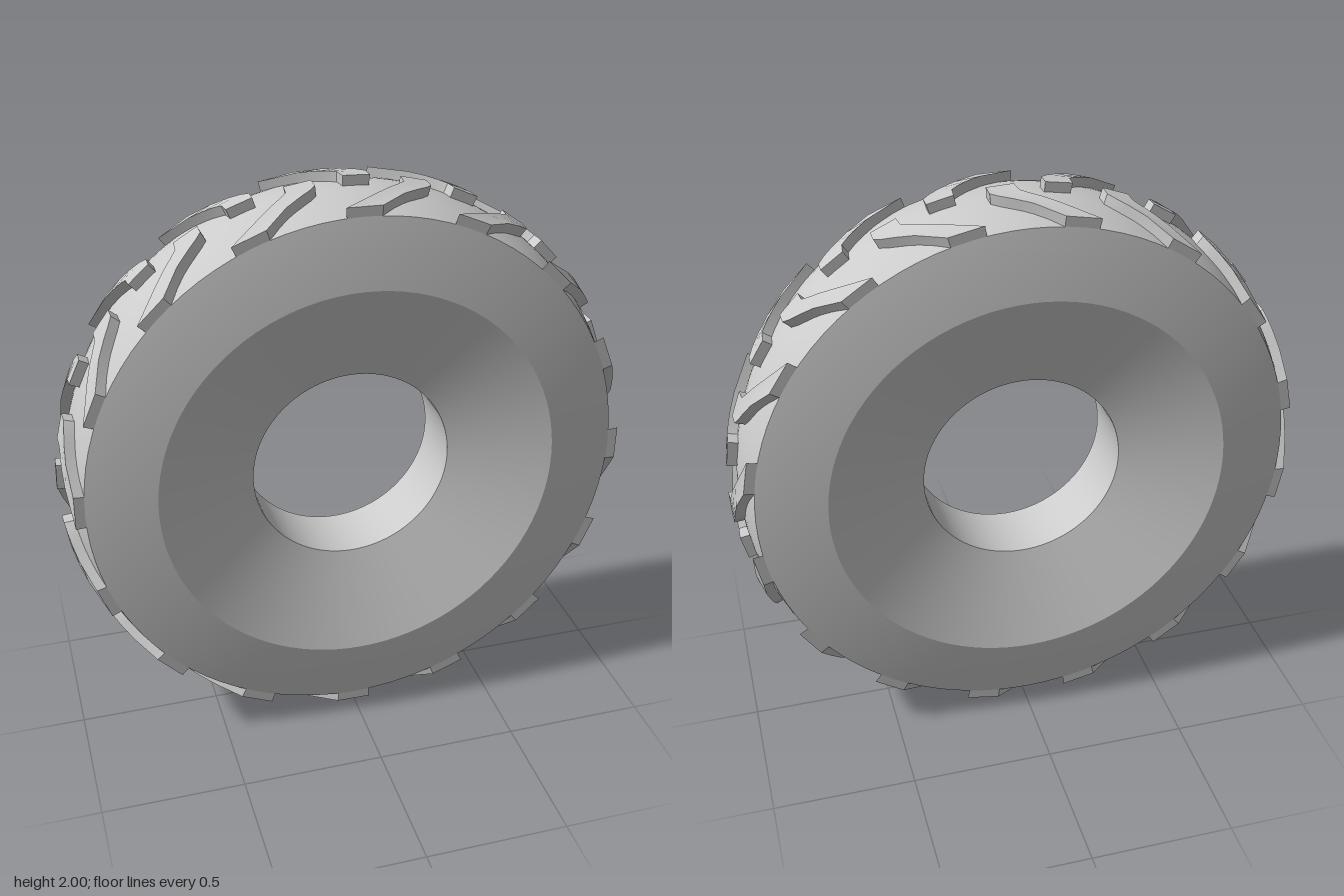
import * as THREE from 'three';
import { toCreasedNormals } from 'three/addons/utils/BufferGeometryUtils.js';

const LUGS = 16;
const HALF_TREAD = 0.2;
const LUG_HEIGHT = 0.035;

// Radius of the crowned tread at a distance z from the centre line
const crown = (z) => 0.965 - 0.035 * (z / HALF_TREAD) ** 2;

// Closed tyre section turned about the z axis
function tyreGeometry() {
  const points = [[0.35, -0.12], [0.695, -0.24], [0.83, -0.221]];
  for (let i = -6; i <= 6; i++) {
    const z = (i / 6) * HALF_TREAD;
    points.push([crown(z), z]);
  }
  points.push([0.83, 0.221], [0.695, 0.24], [0.35, 0.12], [0.35, -0.12]);
  const lathe = new THREE.LatheGeometry(points.map(([r, z]) => new THREE.Vector2(r, z)), 96);
  return toCreasedNormals(lathe.rotateX(Math.PI / 2), 0.4);
}

// Hooked lug swept from the centre line to the shoulder; side is +1 or -1 in z
function lugGeometry(side) {
  // distance from centre line, trailing angle, leading angle
  const rows = [
    [0, 0, 0.092], [0.05, 0, 0.097], [0.075, 0.025, 0.124],
    [0.1, 0.063, 0.16], [0.135, 0.12, 0.21], [HALF_TREAD, 0.21, 0.335],
  ].map(([z, lo, hi]) => {
    const base = crown(z) - 0.02;
    const top = crown(z) + LUG_HEIGHT;
    return [[base, lo], [top, lo], [top, hi], [base, hi]]
      .map(([r, a]) => [r * Math.cos(a), r * Math.sin(a), side * z]);
  });
  const positions = [];
  const quad = (a, b, c, d) => {
    const corners = side > 0 ? [a, b, c, a, c, d] : [a, c, b, a, d, c];
    corners.forEach((p) => positions.push(...p));
  };
  for (let k = 0; k < rows.length - 1; k++) {
    for (let i = 0; i < 4; i++) {
      const j = (i + 1) % 4;
      quad(rows[k][i], rows[k][j], rows[k + 1][j], rows[k + 1][i]);
    }
  }
  quad(...[...rows[0]].reverse());
  quad(...rows[rows.length - 1]);
  const geometry = new THREE.BufferGeometry();
  geometry.setAttribute('position', new THREE.Float32BufferAttribute(positions, 3));
  geometry.computeVertexNormals();
  return toCreasedNormals(geometry, 0.5);
}

export function createModel() {
  const material = new THREE.MeshStandardMaterial({ color: 0xcccccc });
  const model = new THREE.Group();
  model.name = 'tyre';

  const body = new THREE.Mesh(tyreGeometry(), material);
  body.name = 'tyreBody';
  model.add(body);

  // Two rows of lugs, staggered by half a pitch
  const pitch = (Math.PI * 2) / LUGS;
  for (const side of [1, -1]) {
    const row = new THREE.Group();
    row.name = side > 0 ? 'frontLugRow' : 'backLugRow';
    const geometry = lugGeometry(side);
    const start = THREE.MathUtils.degToRad(6) - (side > 0 ? 0 : pitch / 2);
    for (let i = 0; i < LUGS; i++) {
      const lug = new THREE.Mesh(geometry, material);
      lug.name = 'treadLug';
      lug.rotation.z = start + i * pitch;
      row.add(lug);
    }
    model.add(row);
  }

  model.children.forEach((part) => { part.position.y = 1; });
  return model;
}
